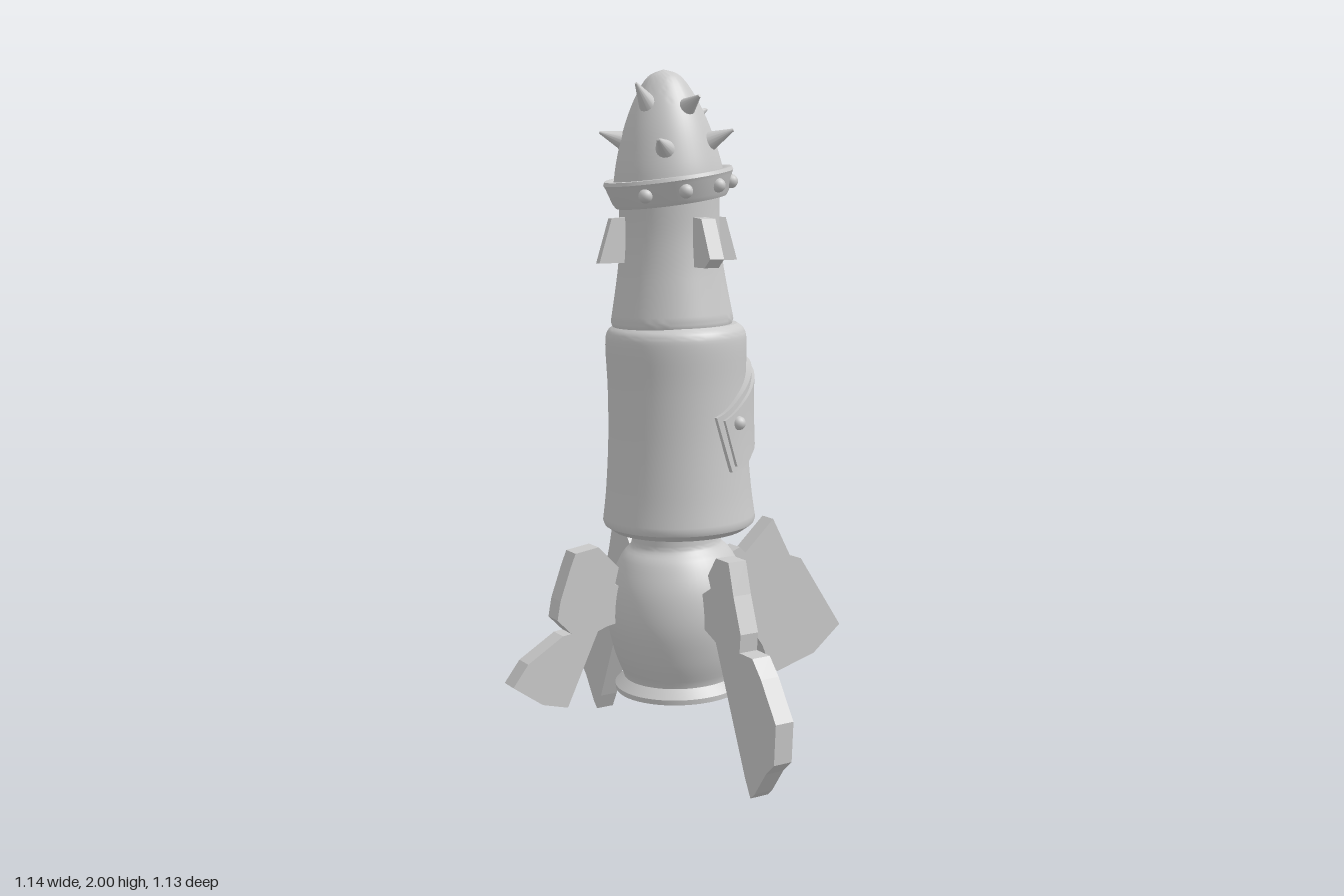
import * as THREE from 'three';
import { toCreasedNormals } from 'three/addons/utils/BufferGeometryUtils.js';

const V2 = (p) => new THREE.Vector2(p[0], p[1]);

export function createModel() {
  const model = new THREE.Group();
  const grey = new THREE.MeshStandardMaterial({ color: 0xcccccc });

  const add = (name, geometry) => {
    const mesh = new THREE.Mesh(geometry, grey);
    mesh.name = name;
    model.add(mesh);
    return mesh;
  };

  // Turned part: profile in [radius, height], leaning about the point (x, y)
  const turned = (name, profile, x, y, lean) => {
    const g = new THREE.LatheGeometry(profile.map(V2), 56).translate(0, -y, 0);
    const mesh = add(name, toCreasedNormals(g, 0.6));
    mesh.position.set(x, y, 0);
    mesh.rotation.z = lean;
  };

  // Rounded run of profile points
  const smooth = (pts, n) => new THREE.SplineCurve(pts.map(V2)).getPoints(n).map((p) => [p.x, p.y]);

  // Bulb-shaped engine with a hollow flared mouth
  turned('engine', [
    [0, 0.29], [0.13, 0.29], [0.14, 0.25], [0.183, 0.2], [0.196, 0.2], [0.197, 0.215], [0.17, 0.24],
    ...smooth([[0.172, 0.25], [0.196, 0.32], [0.212, 0.42], [0.2, 0.52], [0.165, 0.6], [0.135, 0.635], [0.13, 0.66], [0.13, 0.71]], 28),
  ], -0.031, 0.42, 0.04);

  // Main hull
  const hullWall = smooth([[0.224, 0.71], [0.213, 0.8], [0.203, 0.95], [0.201, 1.1], [0.205, 1.22], [0.199, 1.262], [0.178, 1.282]], 28);
  turned('hull', [[0.1, 0.69], [0.195, 0.68], [0.22, 0.698], ...hullWall, [0, 1.288]], -0.034, 0.95, 0.02);

  // Upper stage
  turned('upperStage', [
    [0.14, 1.27], [0.172, 1.278], [0.177, 1.292],
    ...smooth([[0.176, 1.3], [0.162, 1.38], [0.15, 1.46], [0.143, 1.55], [0.145, 1.66]], 16),
  ], -0.057, 1.45, 0.03);

  // Tilted collar below the nose
  turned('collar', [
    [0.13, 1.632], [0.16, 1.632], [0.168, 1.645], [0.182, 1.69], [0.187, 1.7], [0.183, 1.71], [0.165, 1.71], [0.14, 1.695],
  ], -0.06, 1.67, 0.15);

  // Nose cone
  turned('noseCone', smooth([
    [0.163, 1.66], [0.15, 1.74], [0.122, 1.84], [0.085, 1.925], [0.045, 1.982], [0, 2],
  ], 30), -0.062, 1.7, 0.06);

  // Rivets along the front of the collar
  [-53, -16, 20, 52].forEach((deg) => {
    const a = THREE.MathUtils.degToRad(deg);
    const x = 0.176 * Math.sin(a);
    add('collarRivet', new THREE.SphereGeometry(0.02, 16, 12))
      .position.set(-0.06 + x, 1.668 + 0.15 * x, 0.176 * Math.cos(a));
  });

  // Nose spikes, given by base centre and tip
  const up = new THREE.Vector3(0, 1, 0);
  [
    [[-0.06, 1.89, 0.09], [-0.06, 1.92, 0.162]],
    [[-0.15, 1.9, 0.035], [-0.197, 1.955, 0.05]],
    [[-0.175, 1.803, -0.065], [-0.24, 1.825, -0.083]],
    [[-0.1, 1.76, -0.13], [-0.11, 1.785, -0.205]],
    [[0.025, 1.865, -0.03], [0.086, 1.895, -0.035]],
    [[0.01, 1.8, 0.105], [0.055, 1.83, 0.155]],
    [[-0.14, 1.775, 0.11], [-0.192, 1.8, 0.162]],
  ].forEach(([b, t]) => {
    const base = new THREE.Vector3(...b);
    const dir = new THREE.Vector3(...t).sub(base);
    const g = new THREE.CylinderGeometry(0.004, 0.034, dir.length() + 0.02, 16);
    const spike = add('noseSpike', g);
    spike.position.copy(base).addScaledVector(dir, 0.5 - 0.01 / dir.length());
    spike.quaternion.setFromUnitVectors(up, dir.normalize());
  });

  // Flat fin: outline in [distance outwards, height], turned about y
  const fin = (name, outline, thickness, turn, x, z) => {
    const g = new THREE.ExtrudeGeometry(new THREE.Shape(outline.map(V2)), { depth: thickness, bevelEnabled: false });
    g.translate(0, 0, -thickness / 2);
    const mesh = add(name, g);
    mesh.rotation.y = turn;
    mesh.position.set(x, 0, z);
  };
  const Q = Math.PI / 2;

  // Small fins on the upper stage
  const smallFin = [[0.12, 1.45], [0.205, 1.45], [0.233, 1.475], [0.187, 1.585], [0.12, 1.59]];
  const smallSide = [[0.12, 1.46], [0.23, 1.46], [0.19, 1.585], [0.12, 1.59]];
  fin('smallFinFront', smallFin, 0.046, -Q, -0.047, 0);
  fin('smallFinBack', smallFin, 0.046, Q, -0.047, 0);
  fin('smallFinLeft', smallSide, 0.02, 0, -0.057, -0.013);
  fin('smallFinRight', smallSide, 0.02, Math.PI, -0.057, -0.013);

  // Large landing fins: front and back share an outline, the sides differ
  const longFin = [
    [0.267, 0.643], [0.331, 0.643], [0.357, 0.553], [0.394, 0.452], [0.389, 0.4], [0.452, 0.4], [0.495, 0.352],
    [0.567, 0.246], [0.56, 0.13], [0.521, 0.093], [0.468, 0.019], [0.447, 0], [0.42, 0.05], [0.267, 0.4],
    [0.19, 0.43], [0.18, 0.515], [0.24, 0.55], [0.225, 0.585],
  ];
  const rightFin = [
    [0.37, 0.638], [0.296, 0.648], [0.23, 0.58], [0.243, 0.53], [0.15, 0.5], [0.15, 0.43], [0.27, 0.41], [0.3, 0.4],
    [0.4, 0.188], [0.48, 0.21], [0.571, 0.275], [0.524, 0.336], [0.413, 0.402], [0.386, 0.405], [0.43, 0.45],
    [0.42, 0.505], [0.386, 0.6],
  ];
  const leftFin = [
    [0.312, 0.664], [0.376, 0.542], [0.418, 0.527], [0.571, 0.294], [0.471, 0.214], [0.392, 0.193], [0.333, 0.177],
    [0.307, 0.193], [0.275, 0.27], [0.254, 0.3], [0.15, 0.285], [0.14, 0.4], [0.13, 0.5], [0.16, 0.535],
    [0.164, 0.58], [0.19, 0.59], [0.21, 0.57],
  ];
  fin('landingFinFront', longFin, 0.058, -Q, -0.041, 0);
  fin('landingFinBack', longFin, 0.058, Q, -0.041, 0);
  fin('landingFinRight', rightFin, 0.058, Math.PI, 0, -0.035);
  fin('landingFinLeft', leftFin, 0.058, 0, 0, -0.035);

  // Curved patch wrapped round the hull from the front to the left side
  const topEdge = new THREE.SplineCurve([1.03, 1.1, 1.165, 1.19, 1.195].map((y, i) => new THREE.Vector2(i / 4, y)));
  const lowEdge = new THREE.SplineCurve([0.87, 0.895, 0.935, 0.96, 0.97].map((y, i) => new THREE.Vector2(i / 4, y)));
  const hullRadius = (y) => {
    const i = Math.max(1, hullWall.findIndex((p) => p[1] >= y));
    const [a, b] = [hullWall[i - 1], hullWall[i]];
    return THREE.MathUtils.mapLinear(y, a[1], b[1], a[0], b[0]);
  };
  const patch = (name, insetU, insetV, height) => {
    const g = new THREE.BoxGeometry(1, 1, 1, 32, 6, 1);
    const pos = g.attributes.position;
    for (let i = 0; i < pos.count; i++) {
      const u = insetU + (pos.getX(i) + 0.5) * (1 - 2 * insetU);
      const v = insetV + (pos.getY(i) + 0.5) * (1 - 2 * insetV);
      const y = THREE.MathUtils.lerp(lowEdge.getPoint(u).y, topEdge.getPoint(u).y, v);
      const phi = THREE.MathUtils.degToRad(THREE.MathUtils.lerp(76 + 14 * v, -43, u));
      const r = hullRadius(y) + (pos.getZ(i) > 0 ? height : -0.01);
      pos.setXYZ(i, -0.034 + r * Math.cos(phi), y, r * Math.sin(phi));
    }
    add(name, toCreasedNormals(g, 0.6));
  };
  patch('patchBase', 0, 0, 0.013);
  patch('patchPlate', 0.035, 0.09, 0.022);
  add('patchRivet', new THREE.SphereGeometry(0.02, 16, 12)).position.set(0.042, 1.01, 0.21);

  return model;
}
